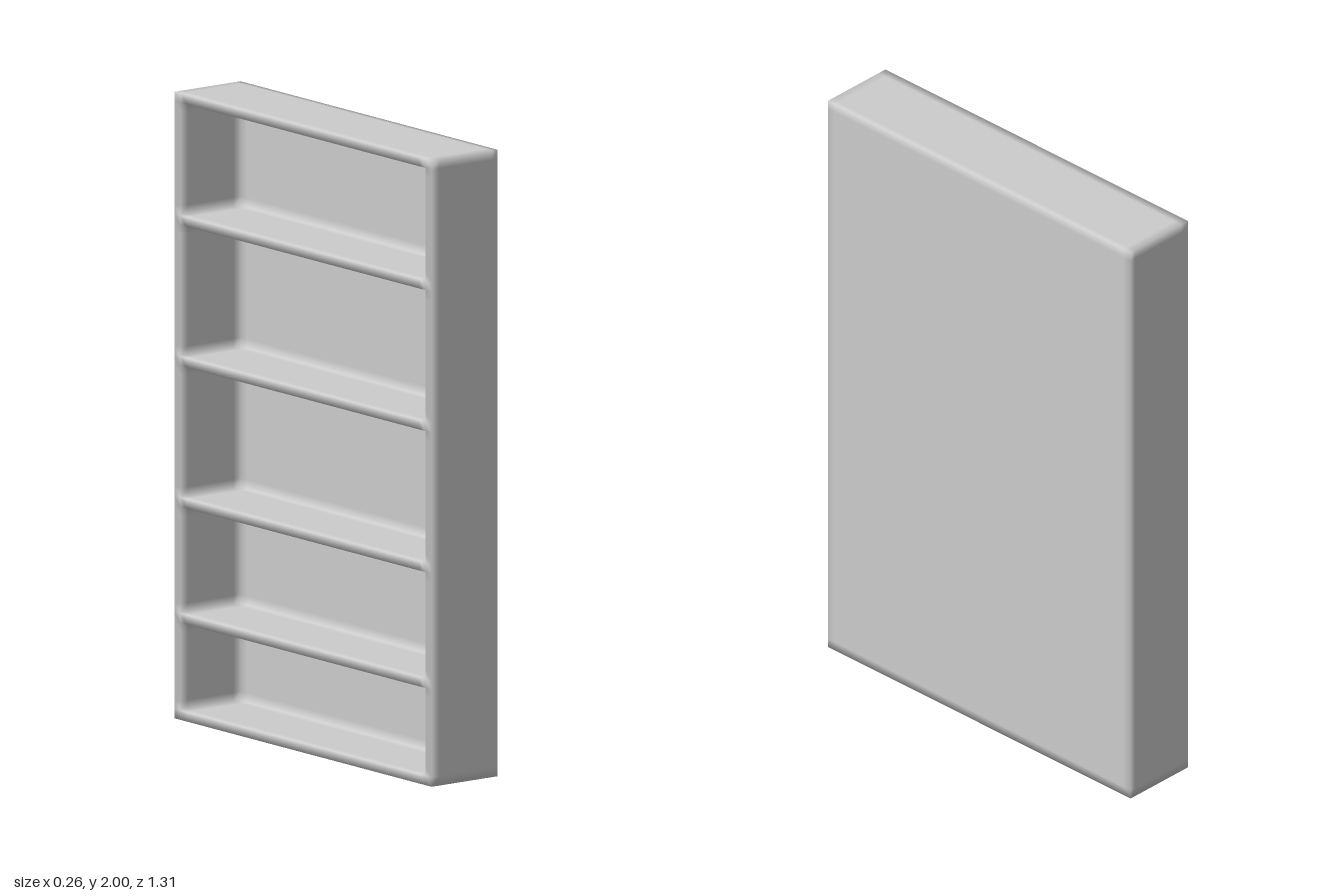
import * as THREE from 'three';

const T = 0.03;                                // board thickness and edge softness
const H = 2, HX = 0.13, HZ = 0.655;            // height, half depth, half width
const BACK = 0.11;                             // inner face of the back panel
const SHELF_TOPS = [0.34, 0.71, 1.16, 1.61];

// Grid lines: every board face plus a line just beside it, so edges shade softly
const shelfLines = SHELF_TOPS.flatMap((t) => [t - 2 * T, t - T, t, t + T]);
const GRID = [
  [-HX, -HX + T, BACK - T, BACK, HX],
  [0, T, 2 * T, ...shelfLines, H - 2 * T, H - T, H],
  [-HZ, -HZ + T, -HZ + 2 * T, HZ - 2 * T, HZ - T, HZ],
];

// Which part fills a cell of the grid (null = open compartment)
function partAt(cell) {
  if (cell.some((c, a) => c < 0 || c >= GRID[a].length - 1)) return null;
  const [x, y, z] = cell.map((c, a) => (GRID[a][c] + GRID[a][c + 1]) / 2);
  if (x > BACK) return 'backPanel';
  if (z > HZ - T) return 'leftWall';
  if (z < -HZ + T) return 'rightWall';
  if (y > H - T) return 'topBoard';
  if (y < T) return 'baseBoard';
  const i = SHELF_TOPS.findIndex((t) => y < t && y > t - T);
  return i < 0 ? null : `shelf${i + 1}`;
}

// Collect the exposed faces of each part and sum their normals at shared corners
function collectFaces() {
  const parts = new Map(), normals = new Map();
  const [nx, ny, nz] = GRID.map((g) => g.length - 1);
  for (let i = 0; i < nx; i++) for (let j = 0; j < ny; j++) for (let k = 0; k < nz; k++) {
    const cell = [i, j, k], part = partAt(cell);
    if (!part) continue;
    for (let axis = 0; axis < 3; axis++) for (const dir of [-1, 1]) {
      const next = [...cell];
      next[axis] += dir;
      if (partAt(next)) continue;
      const u = (axis + 1) % 3, v = (axis + 2) % 3;
      let corners = [[0, 0], [1, 0], [1, 1], [0, 1]].map(([du, dv]) => {
        const c = [...cell];
        c[axis] += dir > 0 ? 1 : 0;
        c[u] += du;
        c[v] += dv;
        return c;
      });
      if (dir < 0) corners.reverse();
      for (const c of corners) {
        const key = c.join();
        if (!normals.has(key)) normals.set(key, new THREE.Vector3());
        const n = normals.get(key);
        n.setComponent(axis, n.getComponent(axis) + dir);
      }
      if (!parts.has(part)) parts.set(part, []);
      parts.get(part).push(corners);
    }
  }
  return { parts, normals };
}

export function createModel() {
  const group = new THREE.Group();
  group.name = 'bookcase';
  const material = new THREE.MeshStandardMaterial({ color: 0xcccccc });
  const { parts, normals } = collectFaces();

  // One mesh per board, all sharing the blended edge normals
  for (const [name, faces] of parts) {
    const position = [], normal = [], index = [];
    for (const corners of faces) {
      const s = position.length / 3;
      for (const c of corners) {
        position.push(...c.map((n, a) => GRID[a][n]));
        normal.push(...normals.get(c.join()).clone().normalize().toArray());
      }
      index.push(s, s + 1, s + 2, s, s + 2, s + 3);
    }
    const geometry = new THREE.BufferGeometry();
    geometry.setAttribute('position', new THREE.Float32BufferAttribute(position, 3));
    geometry.setAttribute('normal', new THREE.Float32BufferAttribute(normal, 3));
    geometry.setIndex(index);
    const mesh = new THREE.Mesh(geometry, material);
    mesh.name = name;
    group.add(mesh);
  }
  return group;
}
